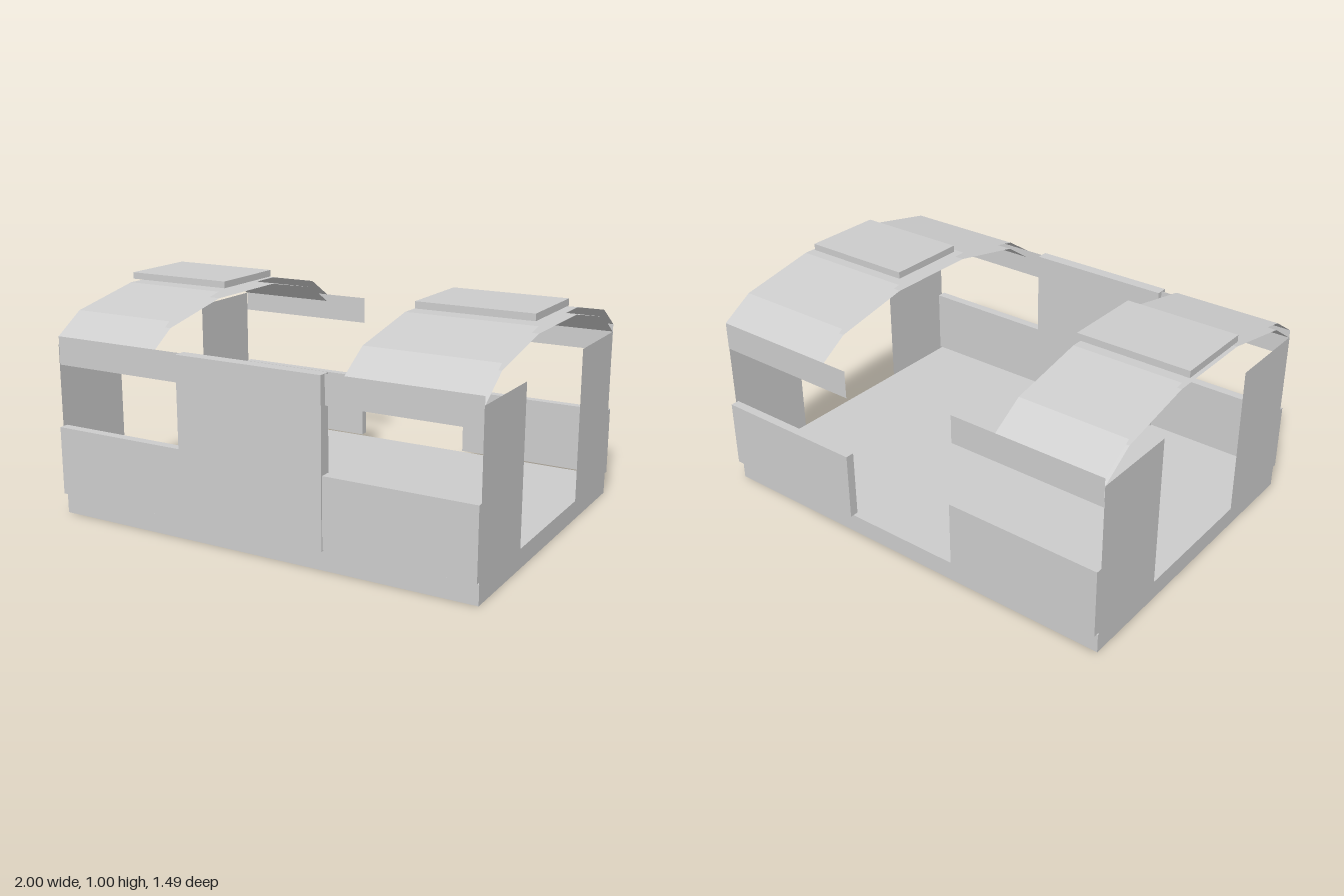
import * as THREE from 'three';

export function createModel() {
  const model = new THREE.Group();
  const grey = new THREE.MeshStandardMaterial({ color: 0xcccccc, side: THREE.DoubleSide, flatShading: true });
  grey.name = 'plain grey';

  const add = (name, geometry) => {
    const mesh = new THREE.Mesh(geometry, grey);
    mesh.name = name;
    model.add(mesh);
    return mesh;
  };
  const box = (name, x0, x1, y0, y1, z0, z1) =>
    add(name, new THREE.BoxGeometry(x1 - x0, y1 - y0, z1 - z0))
      .position.set((x0 + x1) / 2, (y0 + y1) / 2, (z0 + z1) / 2);

  // Open sheet: sweeps a [z, y] profile from x0 to x1
  const sheet = (name, x0, x1, profile) => {
    const positions = [], index = [];
    profile.forEach(([z, y], i) => {
      positions.push(x0, y, z, x1, y, z);
      const a = 2 * i;
      if (i < profile.length - 1) index.push(a, a + 1, a + 3, a, a + 3, a + 2);
    });
    const g = new THREE.BufferGeometry();
    g.setAttribute('position', new THREE.Float32BufferAttribute(positions, 3));
    g.setIndex(index);
    const flat = g.toNonIndexed();
    flat.computeVertexNormals();
    add(name, flat);
  };

  const left = -0.985, right = 0.995;

  // Floor slab and front door panel
  box('floor', left, right, 0, 0.085, -0.72, 0.717);
  box('frontDoor', -0.34, 0.34, 0.09, 0.8, 0.69, 0.745);

  // Low wall panels and thin upper strips, front and back
  for (const [a, b] of [[left, -0.28], [0.28, right]]) {
    box('frontLowerPanel', a, b, 0.095, 0.4, 0.695, 0.738);
    box('backLowerPanel', a, b, 0.095, 0.4, -0.745, -0.705);
    sheet('frontUpperStrip', a, b, [[0.715, 0.675], [0.715, 0.8]]);
    sheet('backUpperStrip', a, b, [[-0.72, 0.8], [-0.72, 0.675]]);
  }

  // Thin corner walls at both ends
  for (const x of [left, right]) {
    for (const s of [-1, 1]) {
      const wall = add('cornerWall', new THREE.PlaneGeometry(0.4, 0.68));
      wall.rotation.y = Math.sign(x) * Math.PI / 2;
      wall.position.set(x, 0.425, s * 0.518);
    }
  }

  // Arched roofs: outer and inner skins with open ends
  const outer = [[0.715, 0.8], [0.575, 0.89], [0.22, 0.96], [-0.22, 0.96], [-0.575, 0.89], [-0.72, 0.8]];
  const inner = [[0.71, 0.767], [0.57, 0.86], [0.215, 0.93], [-0.215, 0.93], [-0.57, 0.86], [-0.715, 0.767]];
  for (const [a, b] of [[left, -0.495], [0.425, right]]) {
    sheet('roofOuterSkin', a, b, outer);
    sheet('roofInnerSkin', a, b, inner);
  }

  // Flat roof plates
  box('roofPlate', -1, -0.488, 0.97, 1, -0.187, 0.183);
  box('roofPlate', 0.45, 0.968, 0.97, 1, -0.187, 0.183);

  return model;
}
